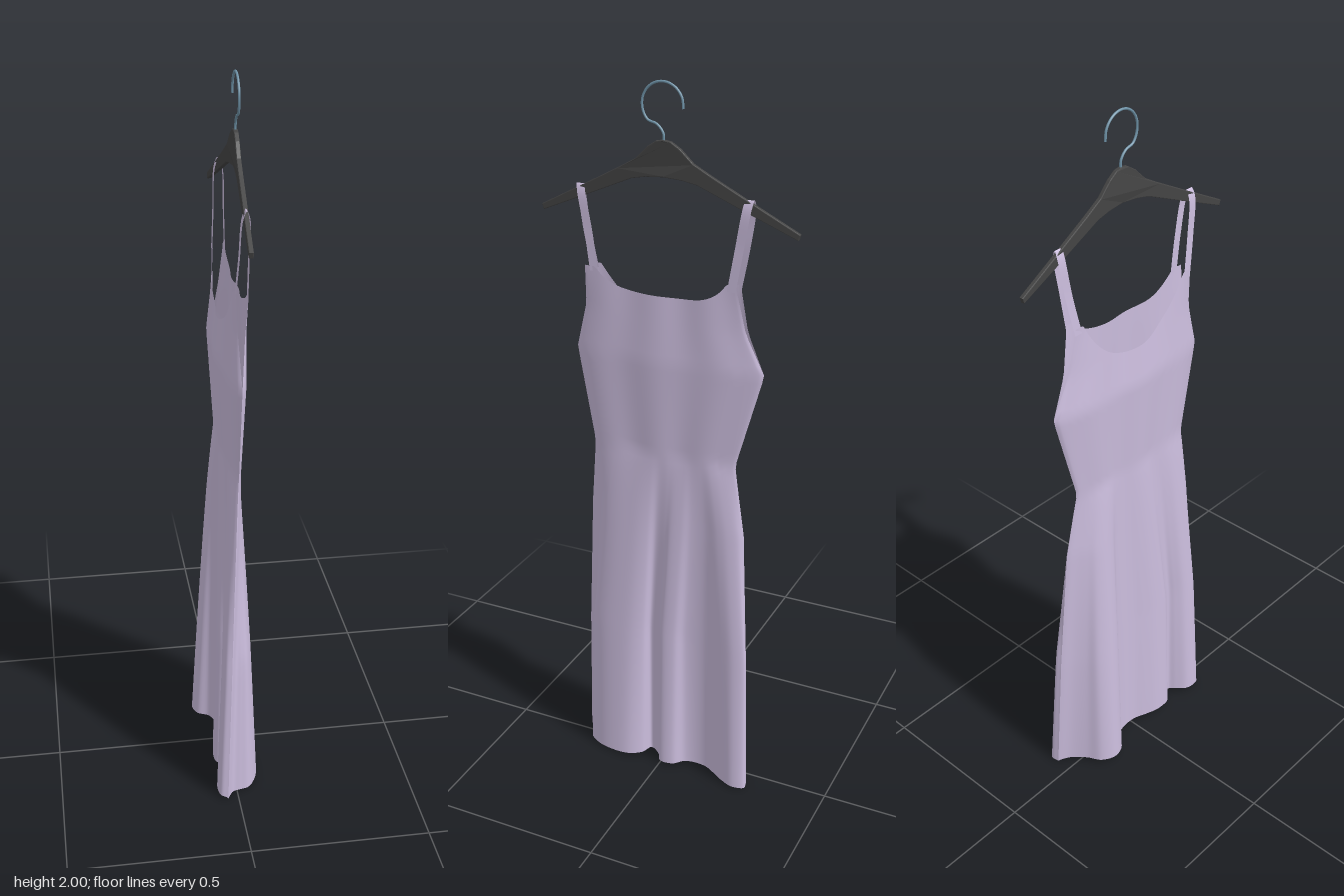
import * as THREE from 'three';

const lerp = THREE.MathUtils.lerp;
const cloth = new THREE.MeshStandardMaterial({ color: 0xcbbddd, side: THREE.DoubleSide });
const dark = new THREE.MeshStandardMaterial({ color: 0x444444 });
const steel = new THREE.MeshStandardMaterial({ color: 0x6f93a8 });

// Piecewise linear lookup in a short list of [key, value]
function table(points, k) {
  if (k <= points[0][0]) return points[0][1];
  for (let i = 1; i < points.length; i++) {
    const [a, va] = points[i - 1], [b, vb] = points[i];
    if (k <= b) return lerp(va, vb, (k - a) / (b - a));
  }
  return points[points.length - 1][1];
}

// Smooth sheet from a rule (u, v in 0..1) => Vector3
function sheet(name, nu, nv, rule) {
  const geo = new THREE.PlaneGeometry(1, 1, nu, nv);
  const pos = geo.attributes.position;
  for (let i = 0; i < pos.count; i++) {
    const p = rule(pos.getX(i) + 0.5, pos.getY(i) + 0.5);
    pos.setXYZ(i, p.x, p.y, p.z);
  }
  geo.computeVertexNormals();
  const mesh = new THREE.Mesh(geo, cloth);
  mesh.name = name;
  return mesh;
}

// Half widths of the dress by height, on the +z and -z sides
const widthPlus = [[0, 0.278], [0.4, 0.265], [0.8, 0.241], [1, 0.222], [1.27, 0.27], [1.4, 0.234], [1.52, 0.23]];
const widthMinus = [[0, 0.275], [0.4, 0.26], [0.8, 0.235], [1, 0.2], [1.27, 0.275], [1.38, 0.225], [1.5, 0.2]];

// Hem folds as [z, x], from the -z seam to the +z seam
const outerHem = [[-0.272, 0.045], [-0.275, 0.07], [-0.24, 0.08], [-0.2, 0.065], [-0.13, 0.026], [-0.07, 0.03],
  [-0.04, 0.058], [0, 0.06], [0.015, 0.035], [0.05, 0.012], [0.065, 0.045], [0.1, 0.068], [0.15, 0.071],
  [0.2, 0.06], [0.238, 0.035], [0.245, 0.01], [0.25, -0.012], [0.275, -0.03]];
const innerHem = [[-0.272, 0.045], [-0.24, 0.02], [-0.21, -0.02], [-0.19, -0.06], [-0.15, -0.082], [-0.11, -0.07],
  [-0.09, -0.037], [-0.05, -0.02], [0, -0.02], [0.04, -0.035], [0.08, -0.048], [0.13, -0.046], [0.148, -0.025],
  [0.172, -0.012], [0.19, -0.03], [0.215, -0.052], [0.24, -0.057], [0.268, -0.05], [0.275, -0.03]];

// One dress panel: a fitted bodice blending into the hem folds below the waist
function panel(name, { hem, depth, edge, crease, neck, hemLift }) {
  const curve = new THREE.CatmullRomCurve3(hem.map(([z, x]) => new THREE.Vector3(x, 0, z)), false, 'centripetal');
  return sheet(name, 100, 64, (s, v) => {
    const even = s * 2 - 1;
    const lens = Math.sqrt(Math.max(0, 1 - even * even));
    const y = lerp(hemLift * lens, neck(Math.abs(even)), v);
    const fold = Math.pow(Math.max(0, 1 - y), 0.8);
    const h = curve.getPoint(s);
    const u = lerp(even, h.z / 0.275, Math.min(1, fold * 1.6));
    const open = Math.max(0, (y - 1.27) / 0.23);
    const side = lerp(0.005, edge, Math.min(1, open));
    const body = lerp(side, table(depth, y), lens) + crease * lens * Math.sin(even * 9 + 0.6);
    const z = u * table(u > 0 ? widthPlus : widthMinus, y);
    return new THREE.Vector3(lerp(body, h.x, fold), y, z);
  });
}

// Shoulder strap: flat ribbon looped over the hanger arm
function strap(name, points) {
  const curve = new THREE.CatmullRomCurve3(points.map(p => new THREE.Vector3(...p)));
  return sheet(name, 1, 40, (s, v) => {
    const p = curve.getPoint(v);
    p.z += (s - 0.5) * 0.024;
    return p;
  });
}

function hanger() {
  const group = new THREE.Group();
  group.name = 'hanger';

  // Sloping arms with a raised middle
  const upper = [[0.36, 1.655], [0.25, 1.712], [0.13, 1.775], [0.08, 1.803], [0.045, 1.837], [0.02, 1.853], [0, 1.856]];
  const lower = [[0, 1.764], [0.05, 1.76], [0.09, 1.752], [0.2, 1.705], [0.355, 1.64]];
  const half = [...upper, ...lower];
  const mirror = p => [-p[0], p[1]];
  const outline = [...upper, ...upper.slice(0, -1).reverse().map(mirror),
    ...lower.slice(1).reverse().map(mirror), ...lower];
  const shape = new THREE.Shape(outline.map(p => new THREE.Vector2(...p)));
  const geo = new THREE.ExtrudeGeometry(shape, { depth: 0.008, bevelSize: 0.002, bevelThickness: 0.002, bevelOffset: -0.002, bevelSegments: 2 });
  geo.translate(0, 0, -0.004).rotateY(-Math.PI / 2);
  // Sweep the arm ends towards -x
  const pos = geo.attributes.position;
  for (let i = 0; i < pos.count; i++) pos.setX(i, pos.getX(i) + 0.027 - 0.05 * Math.abs(pos.getZ(i)));
  geo.computeVertexNormals();
  const arms = new THREE.Mesh(geo, dark);
  arms.name = 'hangerArms';

  // Wire hook
  const path = [[0, 1.845], [0.001, 1.872], [0.018, 1.893]];
  for (let i = 0; i <= 8; i++) {
    const a = lerp(-0.75, 3.25, i / 8);
    path.push([0.003 + 0.056 * Math.cos(a), 1.941 + 0.056 * Math.sin(a)]);
  }
  const wire = new THREE.CatmullRomCurve3(path.map(([z, y]) => new THREE.Vector3(0.027, y, z)));
  const hook = new THREE.Mesh(new THREE.TubeGeometry(wire, 60, 0.0032, 8), steel);
  hook.name = 'hook';

  group.add(arms, hook);
  return group;
}

export function createModel() {
  const model = new THREE.Group();
  model.name = 'dressOnHanger';
  const dress = new THREE.Group();
  dress.name = 'dress';

  dress.add(
    panel('highNeckPanel', {
      hem: outerHem, edge: 0.025, crease: 0.003, hemLift: 0.006,
      depth: [[1, 0.022], [1.27, 0.034], [1.5, 0.028]],
      neck: a => 1.453 + 0.055 * Math.min(1, a / 0.87) ** 4,
    }),
    panel('lowNeckPanel', {
      hem: innerHem, edge: -0.006, crease: -0.003, hemLift: 0.02,
      depth: [[1, -0.016], [1.27, -0.032], [1.5, -0.01]],
      neck: a => 1.375 + 0.133 * Math.min(1, a / 0.87) ** 2.2,
    }),
    strap('strapPlusZ', [[0.027, 1.495, 0.203], [0.027, 1.6, 0.217], [0.025, 1.7, 0.236], [0.016, 1.722, 0.242],
      [0.006, 1.7, 0.245], [0, 1.6, 0.235], [-0.007, 1.495, 0.218]]),
    strap('strapMinusZ', [[0.027, 1.49, -0.187], [0.027, 1.6, -0.206], [0.026, 1.705, -0.224], [0.016, 1.728, -0.228],
      [0.006, 1.705, -0.229], [0, 1.6, -0.213], [-0.007, 1.49, -0.19]]),
  );
  model.add(dress, hanger());
  return model;
}
